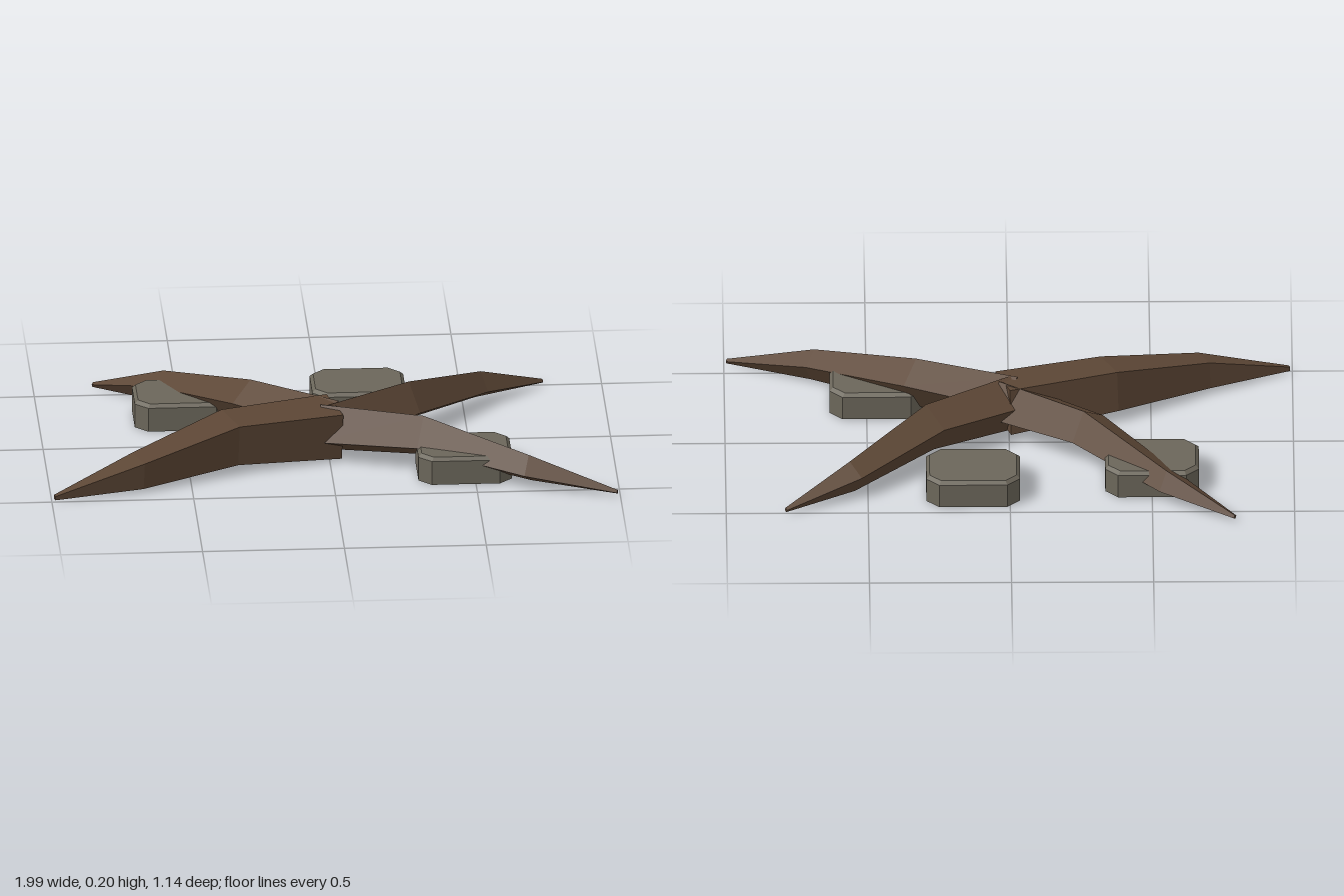
import * as THREE from 'three';

const bark = new THREE.MeshStandardMaterial({ color: 0x5c4635, flatShading: true });
const rock = new THREE.MeshStandardMaterial({ color: 0x6b665a, flatShading: true, side: THREE.DoubleSide });

// Skin a list of rings (each an array of Vector3), with optional flat caps
function loft(rings, capStart, capEnd) {
  const n = rings[0].length, pos = [];
  const tri = (...pts) => pts.forEach((p) => pos.push(p.x, p.y, p.z));
  for (let i = 0; i < rings.length - 1; i++) {
    for (let k = 0; k < n; k++) {
      const j = (k + 1) % n;
      const a = rings[i][k], b = rings[i][j], c = rings[i + 1][j], d = rings[i + 1][k];
      tri(a, d, c);
      tri(a, c, b);
    }
  }
  const first = rings[0], last = rings[rings.length - 1];
  for (let k = 1; k < n - 1; k++) {
    if (capStart) tri(first[0], first[k], first[k + 1]);
    if (capEnd) tri(last[0], last[k + 1], last[k]);
  }
  const geo = new THREE.BufferGeometry();
  geo.setAttribute('position', new THREE.Float32BufferAttribute(pos, 3));
  geo.computeVertexNormals();
  return geo;
}

// Four-sided tapering root: plan points [x, z] from the centre to the tip
const CENTRE_Y = [0.102, 0.115, 0.067, 0.015];
const HALF_HEIGHT = [0.093, 0.081, 0.053, 0.008];
function rootGeometry(plan, rollDegrees) {
  const roll = THREE.MathUtils.degToRad(rollDegrees);
  const up = new THREE.Vector3(0, 1, 0);
  const pts = plan.map(([x, z], i) => new THREE.Vector3(x, CENTRE_Y[i], z));
  const reach = Math.max(Math.abs(Math.sin(roll)), Math.abs(Math.cos(roll)));
  const rings = pts.map((p, i) => {
    const dir = pts[Math.min(i + 1, 3)].clone().sub(pts[Math.max(i - 1, 0)]).setY(0).normalize();
    const right = dir.cross(up);
    const r = HALF_HEIGHT[i] / reach;
    return [0, 1, 2, 3].map((k) => {
      const a = roll + (k * Math.PI) / 2;
      return p.clone().addScaledVector(right, r * Math.cos(a)).addScaledVector(up, r * Math.sin(a));
    });
  });
  return loft(rings, true, true);
}

// Hollow stone with cut corners, a bevelled top and an open underside
function stoneGeometry() {
  const ring = (y, inset) => {
    const w = 0.165 - inset, d = 0.125 - inset, c = 0.045 - inset * 0.4;
    return [[w, -d + c], [w, d - c], [w - c, d], [-w + c, d], [-w, d - c], [-w, -d + c], [-w + c, -d], [w - c, -d]]
      .map(([x, z]) => new THREE.Vector3(x, y, z));
  };
  return loft([ring(0, 0), ring(0.088, 0), ring(0.1, 0.012)], false, true);
}

export function createModel() {
  const group = new THREE.Group();
  const add = (name, geo, mat) => {
    const mesh = new THREE.Mesh(geo, mat);
    mesh.name = name;
    group.add(mesh);
    return mesh;
  };

  // Roots spreading from the middle
  const roots = [
    ['frontRightRoot', 50, [[0.02, 0.1], [-0.355, 0.213], [-0.69, 0.39], [-0.99, 0.495]]],
    ['frontLeftRoot', -15, [[-0.02, 0.1], [0.335, 0.235], [0.69, 0.445], [0.99, 0.562]]],
    ['backRightRoot', -15, [[0.02, 0.11], [-0.275, -0.11], [-0.56, -0.41], [-0.79, -0.565]]],
    ['backLeftRoot', -15, [[-0.02, 0.11], [0.28, -0.09], [0.555, -0.355], [0.79, -0.502]]],
  ];
  for (const [name, roll, plan] of roots) add(name, rootGeometry(plan, roll), bark);

  // Stones lying between the roots
  const stones = [
    ['backRightStone', -0.5, -0.27],
    ['backStone', 0.13, -0.335],
    ['frontLeftStone', 0.465, 0.295],
  ];
  for (const [name, x, z] of stones) add(name, stoneGeometry(), rock).position.set(x, 0, z);

  return group;
}
